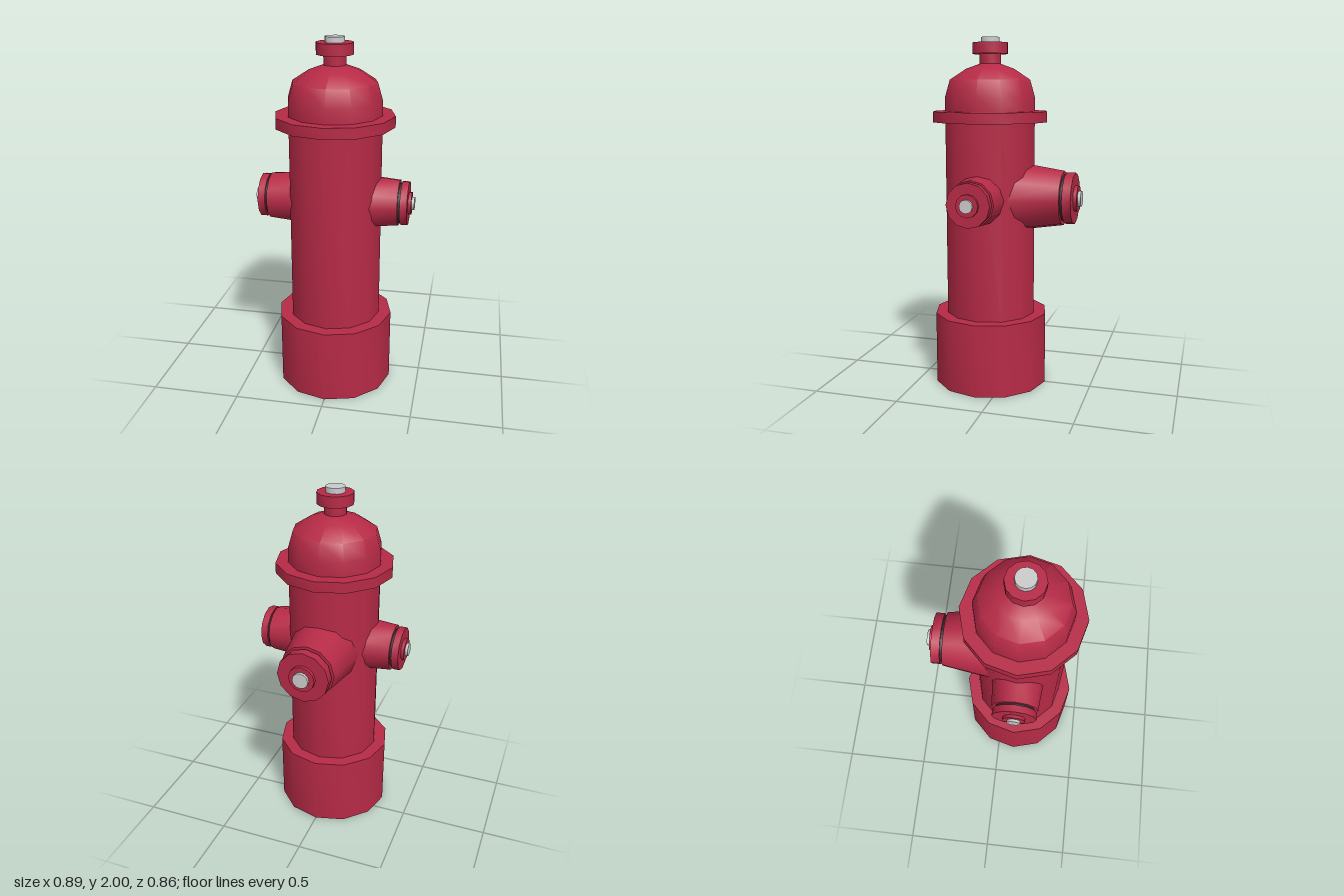
import * as THREE from 'three';
import { toCreasedNormals } from 'three/addons/utils/BufferGeometryUtils.js';

const SIDES = 12;
const CREASE = 0.7; // smooth around the 12 sides, sharp at the rims

const red = new THREE.MeshStandardMaterial({ color: 0xb62a46 });
const dark = new THREE.MeshStandardMaterial({ color: 0x2c2c30 });
const grey = new THREE.MeshStandardMaterial({ color: 0xcccccc });

// Turned part from [radius, height] pairs, listed bottom to top
function turned(name, profile, material) {
  const points = profile.map(([r, y]) => new THREE.Vector2(r, y));
  const geometry = toCreasedNormals(new THREE.LatheGeometry(points, SIDES), CREASE);
  const mesh = new THREE.Mesh(geometry, material);
  mesh.name = name;
  return mesh;
}

// Closed drum or cone between two heights
const drum = (name, y0, y1, r0, r1 = r0, material = red) =>
  turned(name, [[0, y0], [r0, y0], [r1, y1], [0, y1]], material);

// Outlet along local +y: tapered neck, dark gasket, cap, boss and nut
function outlet(name, neck, gasket, cap, boss, nut) {
  const group = new THREE.Group();
  group.name = name;
  group.add(
    drum('outletNeck', neck.from, neck.to, neck.r0, neck.r1),
    drum('outletGasket', neck.to - 0.01, gasket.to, gasket.r, gasket.r, dark),
    drum('outletCap', gasket.to, cap.to, cap.r),
    drum('outletBoss', cap.to - 0.01, boss.to, boss.r),
    drum('outletNut', boss.to - 0.01, nut.to, nut.r, nut.r, grey)
  );
  return group;
}

export function createModel() {
  const model = new THREE.Group();
  model.name = 'fireHydrant';
  const hydrant = new THREE.Group();
  hydrant.name = 'hydrant';
  hydrant.position.z = 0.1;
  model.add(hydrant);

  // Standing column
  hydrant.add(
    drum('base', 0, 0.42, 0.33),
    drum('barrel', 0.4, 1.55, 0.26),
    drum('flange', 1.53, 1.59, 0.33),
    turned('dome', [[0.26, 1.58], [0.26, 1.67], [0.232, 1.765], [0.14, 1.825], [0.062, 1.853], [0, 1.853]], red),
    drum('topNeck', 1.84, 1.92, 0.062),
    drum('topCollar', 1.908, 1.97, 0.102),
    drum('topNut', 1.96, 2.0, 0.054, 0.054, grey)
  );

  // Two small side outlets
  for (const side of [1, -1]) {
    const small = outlet(
      side > 0 ? 'leftOutlet' : 'rightOutlet',
      { from: 0.15, to: 0.363, r0: 0.148, r1: 0.129 },
      { to: 0.375, r: 0.113 },
      { to: 0.415, r: 0.123 },
      { to: 0.432, r: 0.063 },
      { to: 0.447, r: 0.037 }
    );
    small.position.y = 1.107;
    small.rotation.z = -side * Math.PI / 2;
    hydrant.add(small);
  }

  // Large back outlet
  const large = outlet(
    'backOutlet',
    { from: 0.12, to: 0.433, r0: 0.203, r1: 0.155 },
    { to: 0.447, r: 0.134 },
    { to: 0.497, r: 0.147 },
    { to: 0.517, r: 0.074 },
    { to: 0.534, r: 0.045 }
  );
  large.position.y = 1.107;
  large.rotation.x = -Math.PI / 2;
  hydrant.add(large);

  return model;
}
